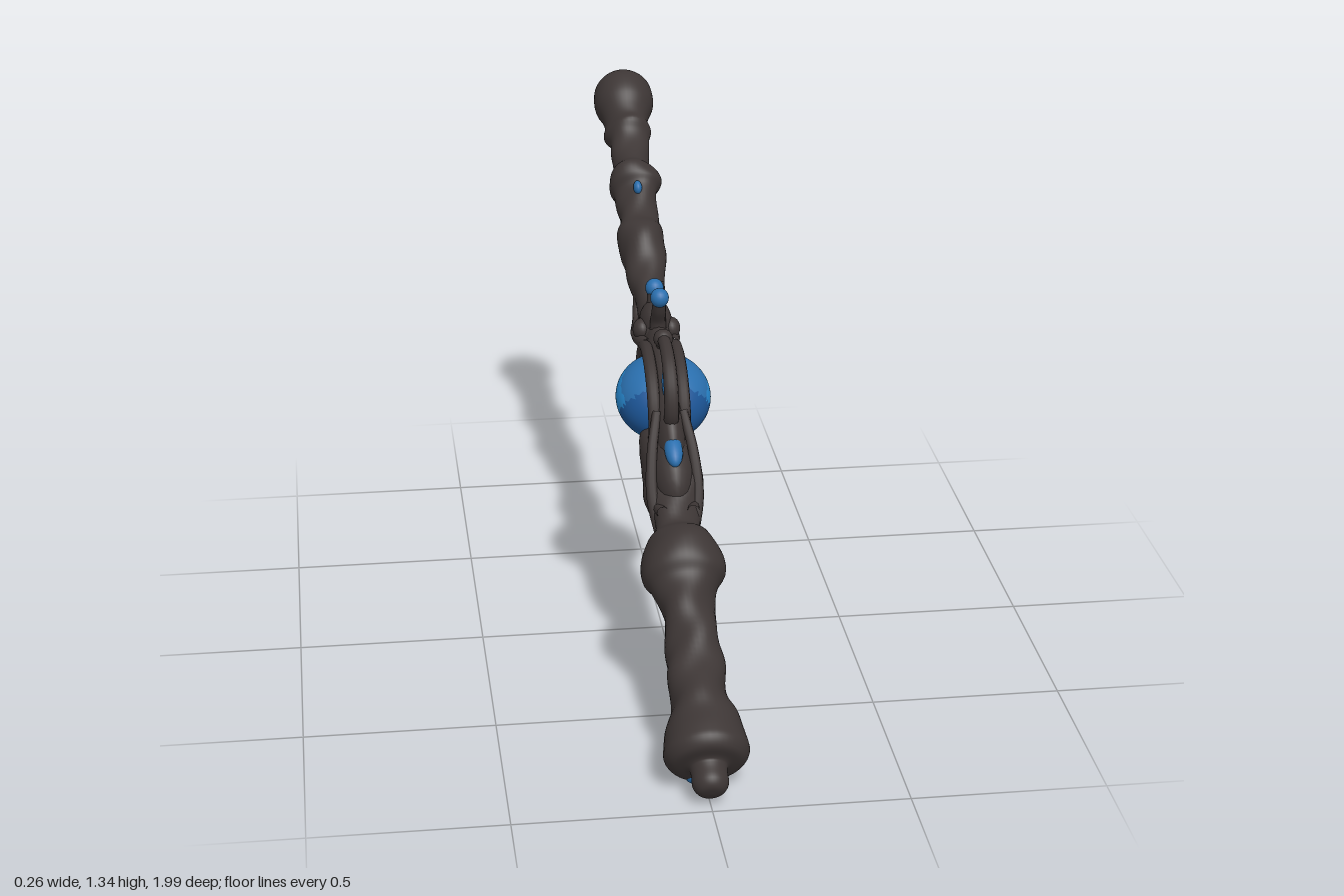
import * as THREE from 'three';
import { mergeVertices } from 'three/addons/utils/BufferGeometryUtils.js';

const mat = (name, color) => {
  const m = new THREE.MeshStandardMaterial({ color });
  m.name = name;
  return m;
};

export function createModel() {
  const wood = mat('dark wood', 0x3d3635);
  const blue = mat('blue crystal', 0x2a6fae);
  const bright = mat('bright blue crystal', 0x2788cf);
  const deep = mat('deep blue crystal', 0x1c5596);

  const model = new THREE.Group();
  model.name = 'staff';
  const add = (name, geo, material, parent = model) => {
    const mesh = new THREE.Mesh(geo, material);
    mesh.name = name;
    parent.add(mesh);
    return mesh;
  };

  // Ball squashed to radii r, in the model's own axes; tilt turns it about x
  const ball = (name, material, [x, y, z], [rx, ry, rz], tilt = 0, parent = model) => {
    const m = add(name, new THREE.SphereGeometry(1, 20, 14), material, parent);
    m.position.set(x, y, z);
    m.scale.set(rx, ry, rz);
    m.rotation.x = tilt;
    return m;
  };

  // Tube along points given as [y, z] (or [y, z, x]), thinning to the end
  const vine = (name, pts, r0, r1 = r0, parent = model) => {
    const curve = new THREE.CatmullRomCurve3(pts.map(([y, z, x = 0]) => new THREE.Vector3(x, y, z)));
    const n = 40, sides = 10;
    const geo = new THREE.TubeGeometry(curve, n, 1, sides, false);
    const p = geo.attributes.position, c = new THREE.Vector3(), v = new THREE.Vector3();
    for (let i = 0; i < p.count; i++) {
      const t = Math.floor(i / (sides + 1)) / n;
      curve.getPointAt(t, c);
      v.fromBufferAttribute(p, i).sub(c).multiplyScalar(r0 + (r1 - r0) * t).add(c);
      p.setXYZ(i, v.x, v.y, v.z);
    }
    return add(name, geo, wood, parent);
  };

  // Leaning frame: local y runs along the staff, local z points up and forward
  const TILT = -1.016;
  const lean = new THREE.Group();
  lean.name = 'leaningFrame';
  lean.rotation.x = TILT;
  lean.position.set(0, 0.68, 0.02);
  model.add(lean);

  // Carved shaft: turned profile [radius, height], then twisted ridges and a slight bend
  const profile = [
    [0, -1.16], [0.03, -1.155], [0.045, -1.135], [0.046, -1.1], [0.05, -1.085], [0.09, -1.075],
    [0.108, -1.05], [0.106, -1.02], [0.09, -0.95], [0.077, -0.89], [0.072, -0.82], [0.068, -0.74],
    [0.07, -0.66], [0.074, -0.6], [0.086, -0.56], [0.105, -0.53], [0.11, -0.5], [0.104, -0.46],
    [0.086, -0.42], [0.062, -0.39], [0.064, -0.32], [0.078, -0.25], [0.08, -0.18], [0.06, 0],
    [0.06, 0.2], [0.062, 0.3], [0.054, 0.38], [0.056, 0.46], [0.067, 0.53], [0.068, 0.58],
    [0.053, 0.62], [0.054, 0.69], [0.06, 0.73], [0.076, 0.755], [0.075, 0.79], [0.056, 0.82],
    [0.052, 0.88], [0.054, 0.93], [0.066, 0.96], [0.062, 0.985], [0.07, 1.02], [0.083, 1.055],
    [0.085, 1.09], [0.078, 1.125], [0.055, 1.155], [0.025, 1.172], [0, 1.175],
  ];
  const outline = new THREE.CatmullRomCurve3(profile.map(([r, s]) => new THREE.Vector3(r, s, 0)));
  const pts = outline.getPoints(230).map((p) => new THREE.Vector2(Math.max(p.x, 0), p.y));
  let shaft = new THREE.LatheGeometry(pts, 40);
  const pos = shaft.attributes.position;
  const ss = THREE.MathUtils.smoothstep;
  for (let i = 0; i < pos.count; i++) {
    const x = pos.getX(i), s = pos.getY(i), z = pos.getZ(i);
    const a = Math.atan2(x, z);
    const carved = ss(s, -1.02, -0.9) * (1 - ss(s, 0.95, 1.05)) * (1 - 0.75 * Math.exp(-(((s + 0.5) / 0.07) ** 2)));
    const k = 1 + carved * (0.065 * Math.sin(2 * a + 26 * s) + 0.045 * Math.sin(3 * a - 44 * s));
    const flat = 1 - 0.4 * Math.exp(-(((s - 0.27) / 0.13) ** 2));
    const bend = -0.035 + 0.032 * ss(s, -0.45, 0.2);
    pos.setXYZ(i, x * k * flat, s, z * k + bend);
  }
  shaft.deleteAttribute('uv');
  shaft.deleteAttribute('normal');
  shaft = mergeVertices(shaft, 1e-5);
  shaft.computeVertexNormals();
  add('shaft', shaft, wood, lean);

  // Flat carved body that holds the orb
  ball('orbHousing', wood, [0, 0, 0.01], [0.055, 0.27, 0.135], 0, lean);
  ball('housingShoulder', wood, [0, 0.21, 0.015], [0.05, 0.1, 0.085], 0, lean);
  ball('housingFoot', wood, [0, -0.21, -0.005], [0.06, 0.12, 0.09], 0, lean);

  // Orb made of a few cut patches in three blues
  let orb = new THREE.IcosahedronGeometry(1, 9);
  const op = orb.attributes.position, c = new THREE.Vector3(), q = new THREE.Vector3();
  for (let f = 0; f < op.count; f += 3) {
    c.set(0, 0, 0);
    for (let j = 0; j < 3; j++) c.add(q.fromBufferAttribute(op, f + j));
    c.normalize();
    const m = c.y < -0.35 && c.z > -0.25 ? 2 : Math.abs(c.x) > 0.55 && c.z < 0.45 ? 1 : 0;
    orb.addGroup(f, 3, m);
  }
  const orbMesh = add('orb', orb, [blue, bright, deep], lean);
  orbMesh.scale.set(0.128, 0.128, 0.102);
  orbMesh.position.set(0, 0.012, 0.02);

  // Raised vines on both flanks of the housing
  for (const side of [1, -1]) {
    const rim = [];
    for (let i = 0; i <= 24; i++) {
      const a = (i / 24) * Math.PI * 2;
      rim.push([0.012 + 0.15 * Math.cos(a), 0.018 + 0.116 * Math.sin(a), side * 0.04]);
    }
    vine('orbRim', rim, 0.017, 0.017, lean);
    vine('flankVine', [[-0.4, -0.07, side * 0.035], [-0.3, 0, side * 0.06], [-0.2, 0.06, side * 0.055],
      [-0.1, 0.11, side * 0.035]], 0.018, 0.012, lean);
    vine('flankVine', [[-0.36, 0.02, side * 0.04], [-0.26, -0.06, side * 0.055], [-0.14, -0.1, side * 0.04]],
      0.016, 0.012, lean);
    vine('flankVine', [[0.14, 0.08, side * 0.035], [0.22, 0.02, side * 0.05], [0.32, -0.03, side * 0.035],
      [0.4, 0.02, side * 0.03]], 0.018, 0.012, lean);
    ball('flankBud', wood, [side * 0.04, 0.21, 0.06], [0.025, 0.03, 0.03], 0, lean);
  }

  // Open hoops above and below the orb
  vine('upperHoop', [[0.66, 0.16], [0.73, 0.2], [0.79, 0.19], [0.84, 0.15], [0.865, 0.1], [0.87, 0.04],
    [0.84, 0.0], [0.79, -0.03]], 0.021, 0.016);
  ball('hoopBud', wood, [0, 0.87, 0.02], [0.026, 0.026, 0.026]);
  vine('lowerHoop', [[0.82, -0.18], [0.74, -0.21], [0.66, -0.19], [0.58, -0.14], [0.52, -0.06], [0.49, 0.02],
    [0.485, 0.08]], 0.025, 0.02);
  vine('innerLowerHoop', [[0.72, -0.17], [0.63, -0.14], [0.57, -0.06], [0.54, 0.03], [0.55, 0.12]], 0.016);
  ball('hoopCurl', wood, [0, 0.485, 0.085], [0.03, 0.03, 0.03]);
  ball('hoopCurlGem', blue, [0, 0.482, 0.07], [0.018, 0.03, 0.025]);

  // Budding twigs tipped with gems
  vine('frontTwig', [[0.82, -0.09], [0.88, -0.09], [0.92, -0.07], [0.95, -0.06]], 0.024, 0.018);
  ball('frontTwigGem', blue, [0, 0.957, -0.057], [0.025, 0.026, 0.026]);
  vine('rearTwig', [[0.83, -0.13], [0.89, -0.15], [0.935, -0.168]], 0.03, 0.02);
  ball('rearTwigGem', blue, [0, 0.943, -0.17], [0.025, 0.026, 0.026]);
  vine('backTwig', [[0.85, -0.24], [0.81, -0.29], [0.81, -0.34], [0.83, -0.375]], 0.025, 0.018);
  ball('backTwigBud', wood, [0, 0.832, -0.372], [0.032, 0.034, 0.034]);
  ball('backTwigGem', blue, [0, 0.826, -0.384], [0.027, 0.03, 0.028]);
  ball('twigRoot', wood, [0, 0.85, -0.15], [0.045, 0.06, 0.07], TILT);

  // Gems set along the front ridge, under the housing, and on the shaft and pommel
  ball('ridgeGem', blue, [0, 0.785, 0.135], [0.018, 0.05, 0.025], -0.7);
  ball('lowerRidgeGem', blue, [0, 0.64, 0.24], [0.024, 0.05, 0.025], TILT);
  ball('rearRidgeGem', blue, [0, 0.735, -0.225], [0.016, 0.03, 0.014]);
  ball('shaftStud', blue, [0, 0.71, 0.055], [0.012, 0.02, 0.018], 0, lean);
  ball('pommelGem', blue, [0, -1.075, -0.105], [0.05, 0.012, 0.03], 0, lean);
  ball('pommelStud', blue, [0, -1.12, -0.066], [0.026, 0.026, 0.018], 0, lean);

  return model;
}
